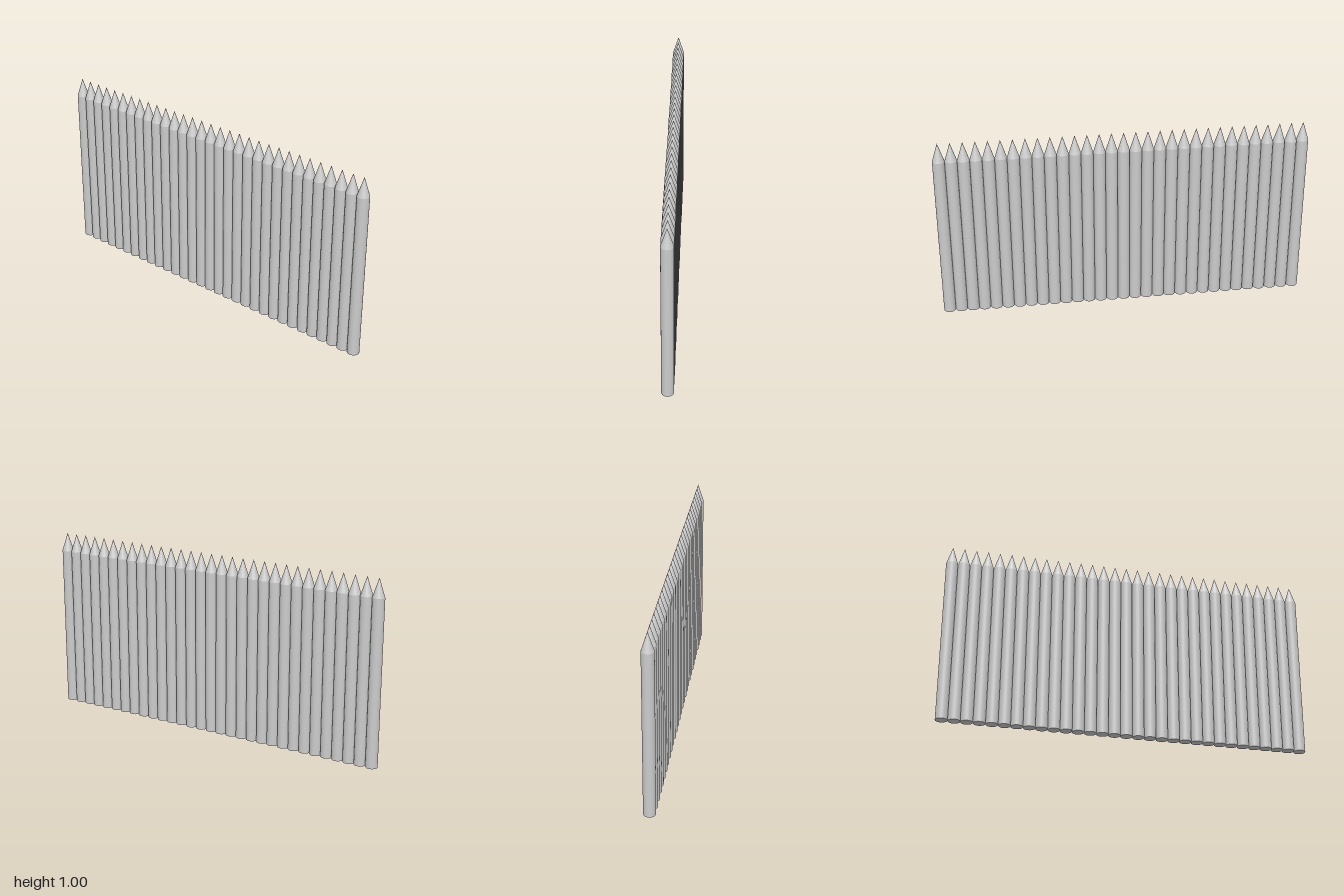
import * as THREE from 'three';

const COUNT = 31;          // stakes in the row
const SPACING = 2 / COUNT; // stakes stand side by side, just touching
const RADIUS = SPACING / 2;
const SHAFT = 0.903;
const TIP = 0.101;
const SIDES = 32;

export function createModel() {
  const group = new THREE.Group();
  group.name = 'palisade';
  const material = new THREE.MeshStandardMaterial({ color: 0xcccccc });

  // Round shaft with a closed base, and a sharpened conical tip
  const shaftGeometry = new THREE.CylinderGeometry(RADIUS, RADIUS, SHAFT, SIDES);
  shaftGeometry.translate(0, SHAFT / 2, 0);
  const tipGeometry = new THREE.ConeGeometry(RADIUS, TIP, SIDES, 1, true);
  tipGeometry.translate(0, SHAFT + TIP / 2, 0);

  // Row of identical stakes along x
  for (let i = 0; i < COUNT; i++) {
    const stake = new THREE.Group();
    stake.name = `stake${i + 1}`;
    stake.position.x = (i - (COUNT - 1) / 2) * SPACING;

    const shaft = new THREE.Mesh(shaftGeometry, material);
    shaft.name = 'shaft';
    const tip = new THREE.Mesh(tipGeometry, material);
    tip.name = 'pointedTip';

    stake.add(shaft, tip);
    group.add(stake);
  }
  return group;
}
